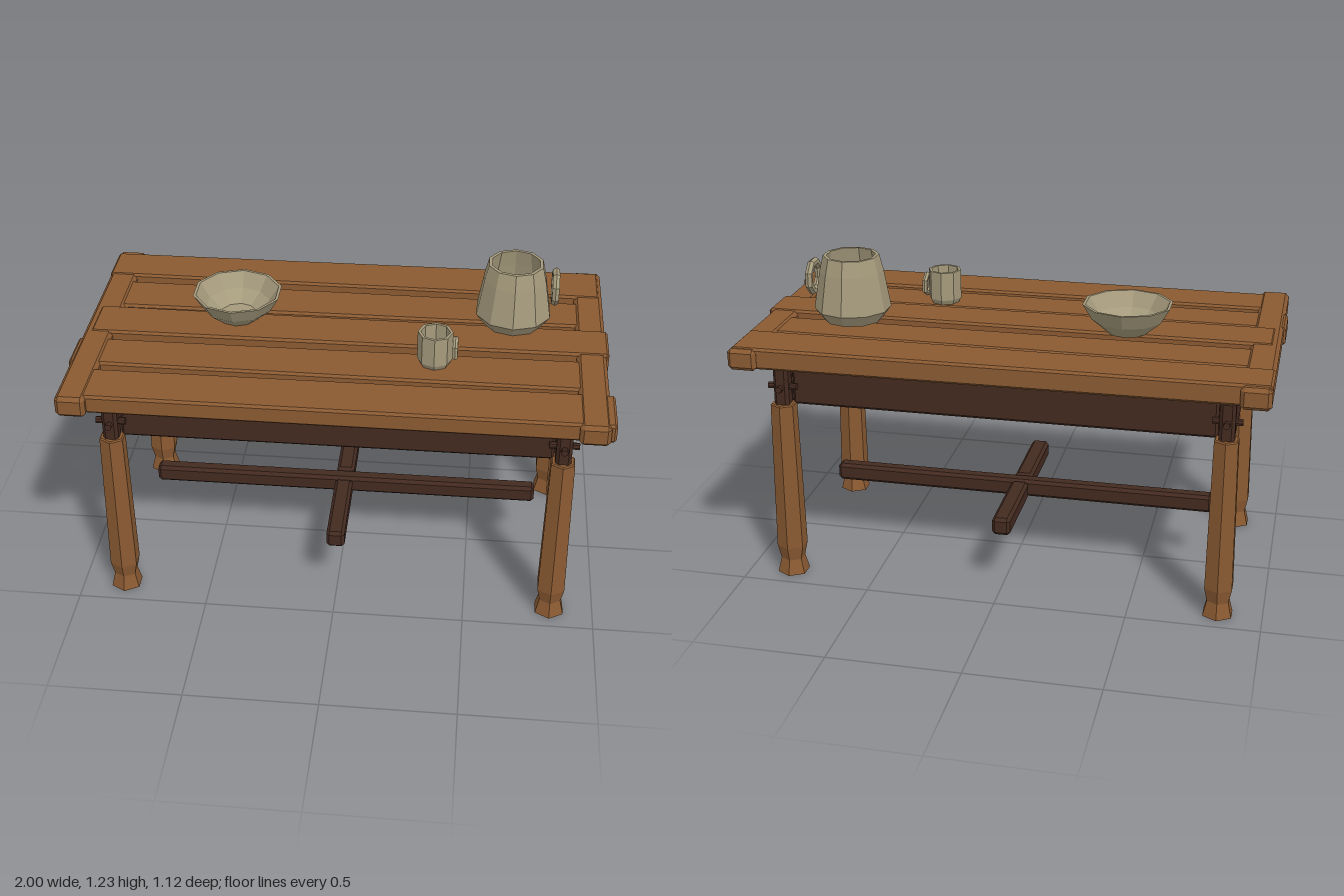
import * as THREE from 'three';
import { ConvexGeometry } from 'three/addons/geometries/ConvexGeometry.js';

const material = (color, side = THREE.FrontSide) =>
  new THREE.MeshStandardMaterial({ color, flatShading: true, side });

// Box between two corners with chamfered edges; taper widens the +x end in z
function chamferBox([x0, y0, z0], [x1, y1, z1], c = 0.01, taper = 0) {
  const half = [(x1 - x0) / 2, (y1 - y0) / 2, (z1 - z0) / 2];
  const mid = [(x0 + x1) / 2, (y0 + y1) / 2, (z0 + z1) / 2];
  const points = [];
  for (const sx of [-1, 1]) for (const sy of [-1, 1]) for (const sz of [-1, 1])
    for (let axis = 0; axis < 3; axis++) {
      const p = [sx, sy, sz].map((s, i) => mid[i] + s * (half[i] - (i === axis ? 0 : c)));
      p[2] += sx * sz * taper;
      points.push(new THREE.Vector3(...p));
    }
  return new ConvexGeometry(points);
}

export function createModel() {
  const model = new THREE.Group();
  const wood = material(0x8a5a32);
  const darkWood = material(0x432a20);
  const clay = material(0xa59a7c, THREE.DoubleSide);

  function add(name, geometry, mat, parent = model) {
    const mesh = new THREE.Mesh(geometry, mat);
    mesh.name = name;
    parent.add(mesh);
    return mesh;
  }

  // Table top planks: x from, x to, z from, z to, top height, taper
  const planks = [
    [-0.99, 0.97, -0.54, -0.35, 0.973, 0.006],
    [-0.98, 0.96, -0.32, -0.135, 0.962, -0.005],
    [-0.965, 0.99, -0.1, 0.085, 0.973, -0.004],
    [-1.0, 0.96, 0.115, 0.3, 0.962, 0.005],
    [-0.97, 1.0, 0.335, 0.53, 0.965, 0.003],
  ];
  for (const [x0, x1, z0, z1, top, taper] of planks)
    add('topPlank', chamferBox([x0, 0.892, z0], [x1, top, z1], 0.009, taper), wood);

  // Cleats across both ends
  for (const [x0, x1] of [[-0.99, -0.88], [0.87, 0.98]])
    add('endCleat', chamferBox([x0, 0.887, -0.56], [x1, 0.969, 0.555], 0.014), wood);

  // Apron frame with a centre rail under the top
  for (const s of [-1, 1]) {
    add('longApron', chamferBox([-0.8, 0.7, s * 0.353 - 0.03], [0.8, 0.876, s * 0.353 + 0.03]), darkWood);
    add('shortApron', chamferBox([s * 0.83 - 0.03, 0.7, -0.36], [s * 0.83 + 0.03, 0.86, 0.36]), darkWood);
  }
  add('centreRail', chamferBox([-0.8, 0.8, -0.03], [0.8, 0.877, 0.03]), darkWood);

  // Crossed stretchers, the short one in two halves
  add('longStretcher', chamferBox([-0.765, 0.23, -0.03], [0.76, 0.3, 0.03], 0.012), darkWood);
  for (const s of [-1, 1])
    add('crossStretcher', chamferBox(
      [-0.037, 0.23, s * 0.21 - 0.178], [0.033, 0.3, s * 0.21 + 0.178], 0.012), darkWood);

  // Six-sided legs with a tenon and two crossing pegs
  const legProfile = [[0, 0], [0.062, 0], [0.046, 0.06], [0.059, 0.115], [0.05, 0.705], [0.045, 0.71], [0, 0.71]]
    .map(([r, y]) => new THREE.Vector2(r, y));
  for (const sx of [-1, 1]) for (const sz of [-1, 1]) {
    const leg = new THREE.Group();
    leg.name = 'legAssembly';
    leg.position.set(sx * 0.833, 0, sz * 0.395);
    add('leg', new THREE.LatheGeometry(legProfile, 6), wood, leg);
    add('tenon', chamferBox([-0.029, 0.69, -0.029], [0.029, 0.86, 0.029], 0.012), darkWood, leg);
    const pegX = add('peg', new THREE.CylinderGeometry(0.013, 0.013, 0.11, 8), darkWood, leg);
    pegX.rotation.z = Math.PI / 2;
    pegX.position.y = 0.776;
    const pegZ = add('peg', new THREE.CylinderGeometry(0.013, 0.013, 0.1, 8), darkWood, leg);
    pegZ.rotation.x = Math.PI / 2;
    pegZ.position.y = 0.776;
    model.add(leg);
  }

  // Hollow vessels turned from profiles
  function vessel(name, x, z, sides, profile) {
    const group = new THREE.Group();
    group.name = name;
    group.position.set(x, 0, z);
    add(name + 'Body', new THREE.LatheGeometry(profile.map(([r, y]) => new THREE.Vector2(r, y)), sides), clay, group);
    model.add(group);
    return group;
  }
  // Ring handle fixed to the vessel's side
  function ringHandle(parent, x, y, radius, tube, sides, turn) {
    const geometry = new THREE.TorusGeometry(radius, tube, 6, sides).rotateZ(turn).rotateY(Math.PI / 2);
    add('handle', geometry, clay, parent).position.set(x, y, 0);
  }

  vessel('bowl', -0.42, -0.07, 10, [
    [0, 0.973], [0.075, 0.973], [0.135, 1.025], [0.171, 1.085],
    [0.16, 1.085], [0.122, 1.03], [0.068, 0.99], [0, 0.99]]);

  const jug = vessel('jug', 0.63, -0.135, 10, [
    [0, 0.974], [0.112, 0.974], [0.146, 1.02], [0.121, 1.165], [0.106, 1.226],
    [0.093, 1.226], [0.107, 1.16], [0.13, 1.025], [0.1, 0.99], [0, 0.99]]);
  ringHandle(jug, 0.152, 1.132, 0.058, 0.015, 8, Math.PI / 8);

  const mug = vessel('mug', 0.347, 0.175, 8, [
    [0, 0.963], [0.055, 0.963], [0.065, 0.982], [0.065, 1.095],
    [0.054, 1.095], [0.054, 0.985], [0.045, 0.978], [0, 0.978]]);
  ringHandle(mug, 0.074, 1.03, 0.039, 0.011, 6, Math.PI / 2);

  return model;
}
